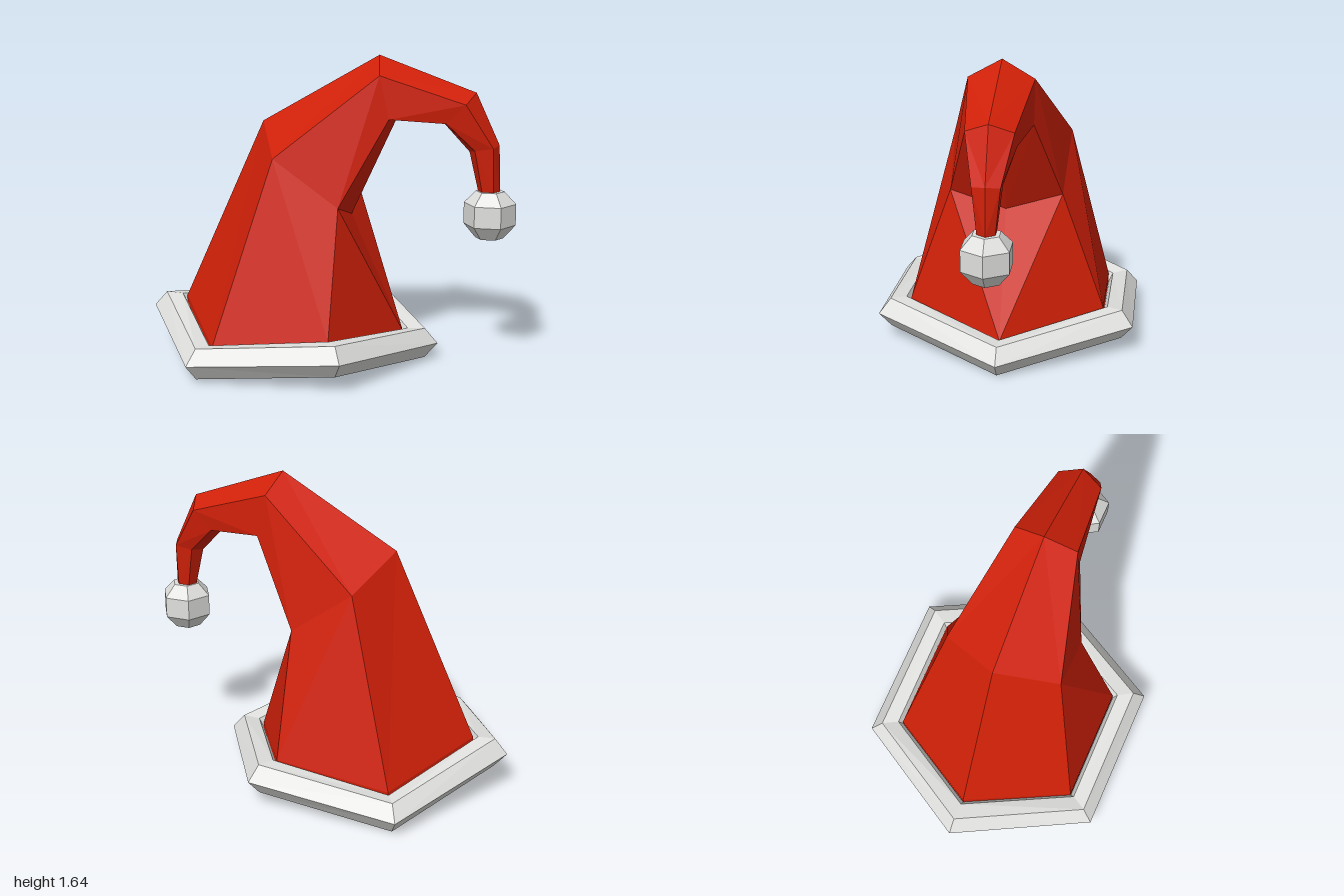
import * as THREE from 'three';

const red = new THREE.MeshStandardMaterial({ color: 0xd02008, side: THREE.DoubleSide });
red.name = 'red felt';
const white = new THREE.MeshStandardMaterial({ color: 0xe0e0de });
white.name = 'white trim';

// Skin a list of closed rings with flat-shaded quads, split symmetrically front to back
function loft(rings) {
  const pos = [];
  const n = rings[0].length;
  for (let i = 0; i < rings.length - 1; i++) {
    for (let j = 0; j < n; j++) {
      const k = (j + 1) % n;
      const a = rings[i][j], b = rings[i][k], c = rings[i + 1][k], d = rings[i + 1][j];
      const tris = j < n / 2 ? [a, b, d, b, c, d] : [a, b, c, a, c, d];
      tris.forEach((p) => pos.push(...p));
    }
  }
  const g = new THREE.BufferGeometry();
  g.setAttribute('position', new THREE.Float32BufferAttribute(pos, 3));
  g.computeVertexNormals();
  return g;
}

function part(name, geometry, material) {
  const m = new THREE.Mesh(geometry, material);
  m.name = name;
  return m;
}

// Six-sided ring from its outer, two side and inner points, mirrored in z
function hexRing([outer, sideA, sideB, inner]) {
  const back = ([x, y, z]) => [x, y, -z];
  return [outer, sideA, sideB, inner, back(sideB), back(sideA)];
}

export function createModel() {
  const group = new THREE.Group();
  group.name = 'floppyHat';

  // Bent cone, from the brim to the drooping tip
  const cone = [
    [[-0.81, 0.28, 0], [-0.508, 0.165, 0.528], [0.107, 0.235, 0.528], [0.41, 0.15, 0]],
    [[-0.36, 1.28, 0], [-0.23, 1.13, 0.32], [0.11, 0.88, 0.3], [0.125, 0.79, 0]],
    [[0.27, 1.645, 0], [0.3, 1.555, 0.17], [0.35, 1.33, 0.17], [0.36, 1.305, 0]],
    [[0.78, 1.46, 0], [0.74, 1.41, 0.12], [0.64, 1.31, 0.12], [0.61, 1.3, 0]],
    [[0.905, 1.19, 0], [0.88, 1.18, 0.07], [0.785, 1.165, 0.07], [0.75, 1.15, 0]],
    [[0.915, 0.94, 0], [0.885, 0.94, 0.045], [0.825, 0.94, 0.045], [0.8, 0.94, 0]],
  ].map(hexRing);
  group.add(part('cone', loft(cone), red));

  // Lining that closes the opening, with a short skirt tucked inside the trim
  const hem = cone[0].map(([x, y, z]) => [x, y - 0.05, z]);
  const centre = hem.map(() => [-0.2, 0.17, 0]);
  group.add(part('lining', loft([centre, hem, cone[0]]), red));

  // Wavy hexagonal trim: a bevelled profile swept round six corners
  const cornerY = [0.213, 0.105, 0.17, 0.093, 0.17, 0.09];
  const profile = [
    [0.612, -0.08], [0.73, -0.083], [0.8, 0], [0.73, 0.08], [0.637, 0.075], [0.612, 0.03], [0.612, -0.08],
  ];
  const rim = profile.map(([r, dy]) => cornerY.map((y, i) => {
    const a = Math.PI - (i * Math.PI) / 3;
    return [-0.2 + r * Math.cos(a), y + dy, r * Math.sin(a)];
  }));
  group.add(part('brimTrim', loft(rim), white));

  // Faceted bobble at the tip
  const outline = [[0, 0.695], [0.075, 0.695], [0.137, 0.768], [0.137, 0.88], [0.075, 0.945], [0, 0.945]];
  const ball = new THREE.LatheGeometry(outline.map(([r, y]) => new THREE.Vector2(r, y)), 6, Math.PI / 2)
    .toNonIndexed();
  ball.computeVertexNormals();
  const bobble = part('bobble', ball, white);
  bobble.position.x = 0.863;
  group.add(bobble);

  return group;
}
